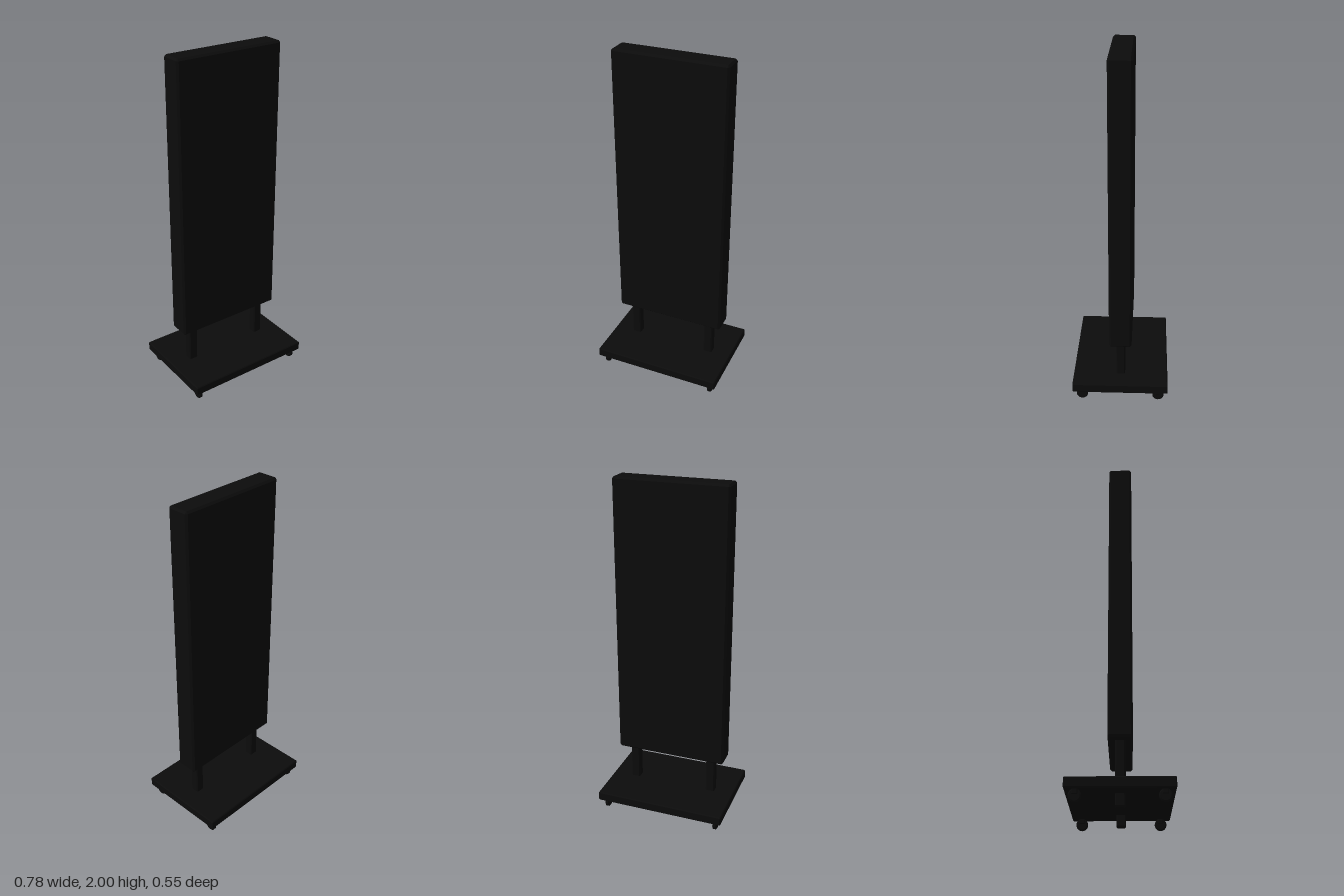
import * as THREE from 'three';
import { ConvexGeometry } from 'three/addons/geometries/ConvexGeometry.js';

// Box with all edges chamfered by c
function chamferBox(w, h, d, c) {
  const points = [];
  for (const sx of [-1, 1]) for (const sy of [-1, 1]) for (const sz of [-1, 1]) {
    const x = w / 2, y = h / 2, z = d / 2;
    points.push(
      new THREE.Vector3(sx * x, sy * (y - c), sz * (z - c)),
      new THREE.Vector3(sx * (x - c), sy * y, sz * (z - c)),
      new THREE.Vector3(sx * (x - c), sy * (y - c), sz * z));
  }
  return new ConvexGeometry(points);
}

export function createModel() {
  const group = new THREE.Group();
  const black = new THREE.MeshStandardMaterial({ color: 0x0c0c0c });
  black.name = 'matte black';

  const add = (name, geometry, x, y, z, parent = group) => {
    const mesh = new THREE.Mesh(geometry, black);
    mesh.name = name;
    mesh.position.set(x, y, z);
    parent.add(mesh);
    return mesh;
  };

  // Tall display panel and base platform
  add('displayPanel', chamferBox(0.664, 1.66, 0.13, 0.011), 0, 1.17, 0);
  add('basePlatform', chamferBox(0.776, 0.055, 0.554, 0.005), 0, 0.0925, 0);

  // Two posts running from the floor into the panel
  const post = chamferBox(0.054, 0.4, 0.052, 0.006);
  for (const s of [-1, 1]) add(s > 0 ? 'leftPost' : 'rightPost', post, s * 0.244, 0.2, 0);

  // Four casters: a bevelled wheel with a short mount straddling it
  const wheel = new THREE.LatheGeometry([
    [0, -0.012], [0.027, -0.012], [0.027, -0.012], [0.033, -0.008], [0.033, -0.008],
    [0.033, 0.008], [0.033, 0.008], [0.027, 0.012], [0.027, 0.012], [0, 0.012],
  ].map(([r, y]) => new THREE.Vector2(r, y)), 24).rotateZ(Math.PI / 2);
  const mount = chamferBox(0.032, 0.032, 0.032, 0.004);
  for (const sx of [-1, 1]) for (const sz of [-1, 1]) {
    const caster = new THREE.Group();
    caster.name = (sz > 0 ? 'front' : 'back') + (sx > 0 ? 'Left' : 'Right') + 'Caster';
    caster.position.set(sx * 0.345, 0, sz * 0.222);
    add('wheel', wheel, 0, 0.035, 0, caster);
    add('mount', mount, 0, 0.056, 0, caster);
    group.add(caster);
  }
  return group;
}
